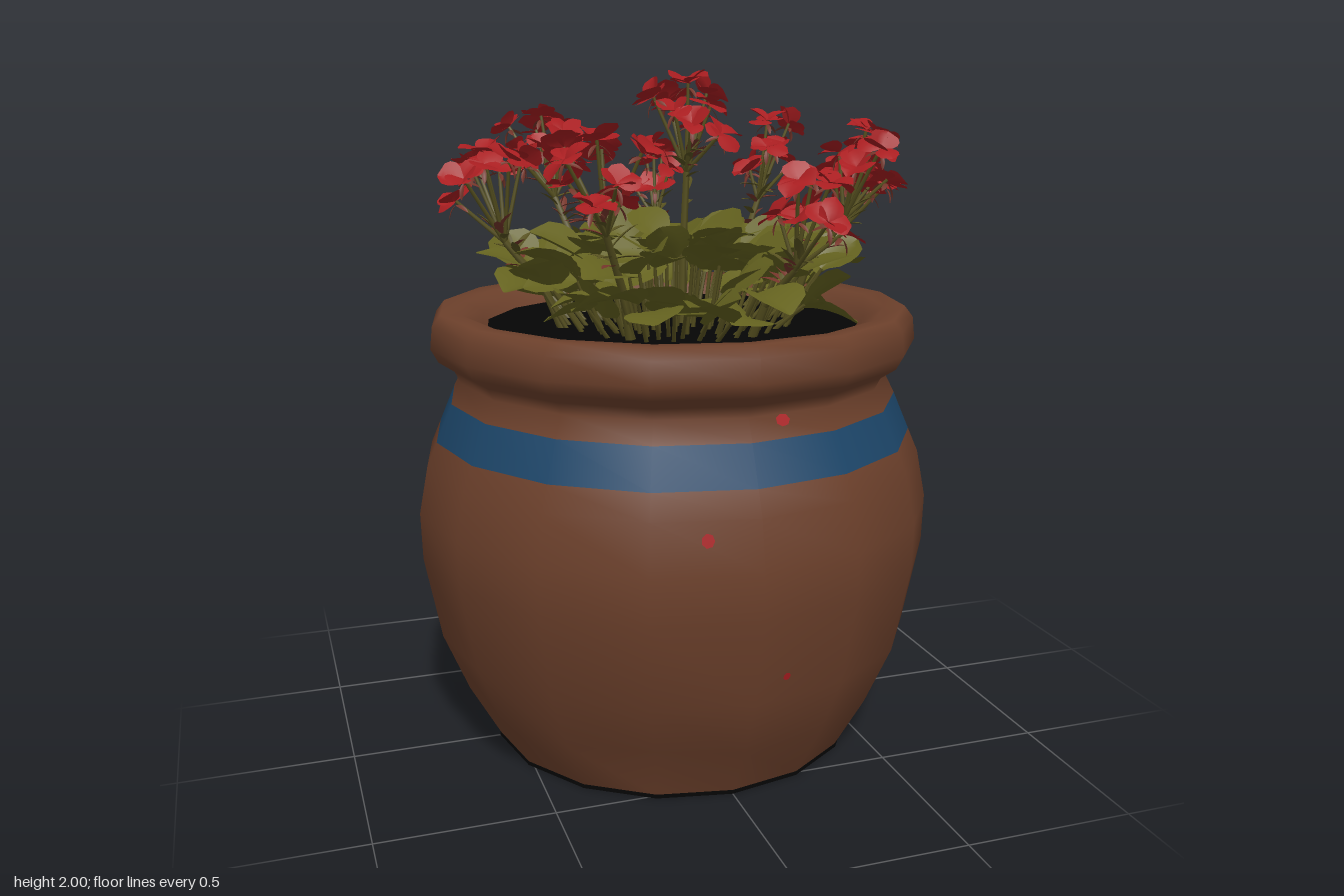
import * as THREE from 'three';
import { mergeGeometries, mergeVertices } from 'three/addons/utils/BufferGeometryUtils.js';

const mat = (name, color, side = THREE.FrontSide) => {
  const m = new THREE.MeshStandardMaterial({ color, side });
  m.name = name;
  return m;
};
const V = (x, y, z) => new THREE.Vector3(x, y, z);
const UP = V(0, 1, 0);

// Seeded random in the range a..b
let seed = 7;
function rand(a = 0, b = 1) {
  seed = (seed * 16807) % 2147483647;
  return a + (b - a) * (seed / 2147483647);
}

// Tapered rod between two points
function rod(a, b, r0, r1 = r0) {
  const d = b.clone().sub(a);
  const g = new THREE.CylinderGeometry(r1, r0, d.length(), 5, 1, true);
  g.translate(0, d.length() / 2, 0);
  g.applyQuaternion(new THREE.Quaternion().setFromUnitVectors(UP, d.normalize()));
  return g.translate(a.x, a.y, a.z);
}

// Curved blade growing along +z: rounded outline, folded midrib, bent tip
function blade(length, width, fold, bend) {
  const g = new THREE.PlaneGeometry(1, 1, 4, 5).rotateX(-Math.PI / 2).translate(0, 0, 0.5);
  const p = g.attributes.position;
  for (let i = 0; i < p.count; i++) {
    const t = p.getZ(i);
    const x = p.getX(i) * width * (0.1 + 0.9 * Math.sqrt(Math.max(0, Math.sin(Math.PI * Math.pow(t, 1.1)))));
    p.setXYZ(i, x, fold * Math.abs(x) + bend * length * t * t, t * length);
  }
  g.computeVertexNormals();
  return g;
}

export function createModel() {
  const model = new THREE.Group();
  const terracotta = mat('terracotta', 0x6c402b);
  const blue = mat('bluePaint', 0x1c4568);
  const black = mat('blackSoil', 0x050505);
  const green = mat('leafGreen', 0x64621f, THREE.DoubleSide);
  const stemGreen = mat('stemGreen', 0x56501f, THREE.DoubleSide);
  const red = mat('petalRed', 0xa81d20, THREE.DoubleSide);
  const bractRed = mat('bractRed', 0x74352a, THREE.DoubleSide);
  const add = (name, geometry, material) => {
    const m = new THREE.Mesh(geometry, material);
    m.name = name;
    model.add(m);
    return m;
  };

  // Pot wall with rolled rim, painted band on row 6
  const profile = [[0.555, 0.01], [0.645, 0.17], [0.72, 0.35], [0.768, 0.6], [0.772, 0.74], [0.745, 0.88],
    [0.715, 0.95], [0.668, 1.06], [0.638, 1.12], [0.655, 1.155], [0.7, 1.185], [0.722, 1.225], [0.715, 1.29],
    [0.69, 1.322], [0.63, 1.318], [0.57, 1.29], [0.53, 1.22]];
  const SIDES = 16, BAND = 6;
  let wall = new THREE.LatheGeometry(profile.map(p => new THREE.Vector2(...p)), SIDES);
  wall.deleteAttribute('uv');
  wall.deleteAttribute('normal');
  const wp = wall.attributes.position;
  for (let i = 0; i < wp.count; i++) {
    const x = wp.getX(i), y = wp.getY(i), z = wp.getZ(i);
    // Hand-made dents near the foot
    const s = y > 0.1 && y < 0.3 ? 1 - 0.06 * Math.max(0, Math.sin(4 * Math.atan2(x, z) + 3.2)) : 1;
    wp.setXYZ(i, x * s, y, z * s);
  }
  wall = mergeVertices(wall, 1e-4);
  wall.computeVertexNormals();
  wall.clearGroups();
  const rows = profile.length - 1;
  for (let i = 0; i < SIDES; i++) {
    const start = i * rows * 6;
    wall.addGroup(start, BAND * 6, 0);
    wall.addGroup(start + BAND * 6, 6, 1);
    wall.addGroup(start + (BAND + 1) * 6, (rows - BAND - 1) * 6, 0);
  }
  add('potWall', wall, [terracotta, blue]);

  // Underside and soil
  const flat = (r0, r1, y) => new THREE.LatheGeometry([new THREE.Vector2(r0, y), new THREE.Vector2(r1, y)], SIDES);
  add('footRing', flat(0.465, 0.557, 0), black);
  add('footEdge', new THREE.CylinderGeometry(0.557, 0.557, 0.012, SIDES, 1, true).translate(0, 0.006, 0), black);
  add('potBase', flat(0, 0.47, 0.003), terracotta);
  add('soil', new THREE.CircleGeometry(0.56, SIDES).rotateX(-Math.PI / 2).translate(0, 1.265, 0), black);

  // Paint specks on the wall: azimuth in degrees, height, width, height scale, material
  const specks = [[-11, 0.83, 0.018, 1.1, red], [9, 1.105, 0.022, 0.8, red], [7, 0.42, 0.012, 1, red],
    [111, 0.68, 0.017, 2, green], [158, 0.6, 0.045, 0.8, red], [146, 0.52, 0.02, 0.8, red], [150, 0.87, 0.022, 0.8, red],
    [136, 0.87, 0.014, 1, red], [140, 0.12, 0.012, 3, green], [150, 1.26, 0.02, 1.2, red]];
  for (const [deg, y, size, stretch, m] of specks) {
    const k = profile.findIndex(p => p[1] > y), [r0, y0] = profile[k - 1], [r1, y1] = profile[k];
    const a = THREE.MathUtils.degToRad(deg), step = 2 * Math.PI / SIDES;
    const mid = (Math.floor(a / step) + 0.5) * step;
    const r = (r0 + (r1 - r0) * (y - y0) / (y1 - y0)) * Math.cos(step / 2) / Math.cos(a - mid) + 0.004;
    const s = add('paintSpeck', new THREE.CircleGeometry(size, 7).scale(1, stretch, 1), m);
    s.position.set(r * Math.sin(a), y, r * Math.cos(a));
    s.rotation.set(-Math.atan2(r0 - r1, y1 - y0), mid, 0, 'YXZ');
  }

  // Foliage: leaves spiral outwards from the middle, each on a stalk
  const leaves = [], stalks = [];
  const LEAVES = 150;
  for (let i = 0; i < LEAVES; i++) {
    const f = Math.sqrt((i + 0.5) / LEAVES), a = i * 2.39996;
    const r = 0.45 * f;
    const base = V(0.02 + r * Math.sin(a), rand(1.31, 1.56 - 0.12 * f), -0.05 + r * 1.08 * Math.cos(a));
    const g = blade(rand(0.13, 0.2), rand(0.12, 0.19), rand(0.1, 0.45), rand(-0.35, 0.1));
    g.rotateZ(rand(-0.6, 0.6));
    g.rotateX(-rand(-0.25 + 0.35 * f, 0.75));
    g.rotateY(a + rand(-1, 1));
    leaves.push(g.translate(base.x, base.y, base.z));
    stalks.push(rod(V(base.x * 0.75, 1.25, base.z * 0.75), base, 0.007, 0.005));
  }
  add('leaves', mergeGeometries(leaves), green);

  // Flower heads: x, top height, z, spread, number of blooms
  const heads = [[-0.29, 1.86, -0.42, 0.12, 9], [0.14, 1.76, -0.62, 0.07, 6], [0.45, 1.84, -0.37, 0.11, 8],
    [-0.55, 1.77, -0.02, 0.12, 9], [0.04, 1.96, 0.03, 0.115, 9], [0.58, 1.77, 0.05, 0.1, 8],
    [0.5, 1.83, 0.25, 0.1, 8], [-0.33, 1.82, 0.39, 0.13, 9], [0.23, 1.72, 0.49, 0.11, 8]];
  const bracts = [];
  for (const [x, top, z, spread, count] of heads) {
    const petals = [];
    const root = V(x * 0.6, 1.25, z * 0.6), fork = V(x * 0.9, top - 0.25, z * 0.9);
    const bendPoint = V(x * 0.7, (1.25 + fork.y) / 2, z * 0.7);
    stalks.push(rod(root, bendPoint, 0.014, 0.012), rod(bendPoint, fork, 0.012, 0.01));
    for (let i = 0; i < count; i++) {
      const a = i * 2.39996 + x * 9, f = Math.sqrt(i / count);
      const c = V(x + spread * f * Math.sin(a), top - (i ? rand(0, 0.17) : 0), z + spread * f * Math.cos(a));
      stalks.push(rod(fork, c, 0.007, 0.005));
      // Bloom faces outwards from the middle of the head
      const face = V(Math.sin(a) * f * 0.8, 1, Math.cos(a) * f * 0.8).normalize();
      const q = new THREE.Quaternion().setFromUnitVectors(UP, face);
      for (let k = 0; k < 5; k++) {
        const g = blade(rand(0.05, 0.075), rand(0.06, 0.085), rand(-0.2, 0.4), rand(-0.5, 0.1));
        g.rotateZ(rand(-0.3, 0.3)).rotateX(-rand(0.05, 0.8));
        g.rotateY(k * 2 * Math.PI / 5 + a).applyQuaternion(q);
        petals.push(g.translate(c.x, c.y, c.z));
      }
      // Sepals under the bloom
      for (let k = 0; k < 3; k++) {
        const g = blade(0.045, 0.014, 0.3, -0.4);
        g.rotateX(0.3).rotateY(k * 2.1 + a).applyQuaternion(q);
        bracts.push(g.translate(c.x, c.y - 0.012, c.z));
      }
    }
    add('flowerHead', mergeGeometries(petals), red);
    // Small green and reddish bracts along the stem
    for (let i = 0; i < 14; i++) {
      const p = bendPoint.clone().lerp(fork, rand(0.4, 1.3));
      const g = blade(rand(0.05, 0.1), 0.025, 0.3, -0.2);
      g.rotateX(-rand(0.2, 1.1)).rotateY(rand(0, 6.28)).translate(p.x, p.y, p.z);
      (i % 2 ? stalks : bracts).push(g);
    }
  }
  add('stems', mergeGeometries(stalks), stemGreen);
  add('bracts', mergeGeometries(bracts), bractRed);
  return model;
}
